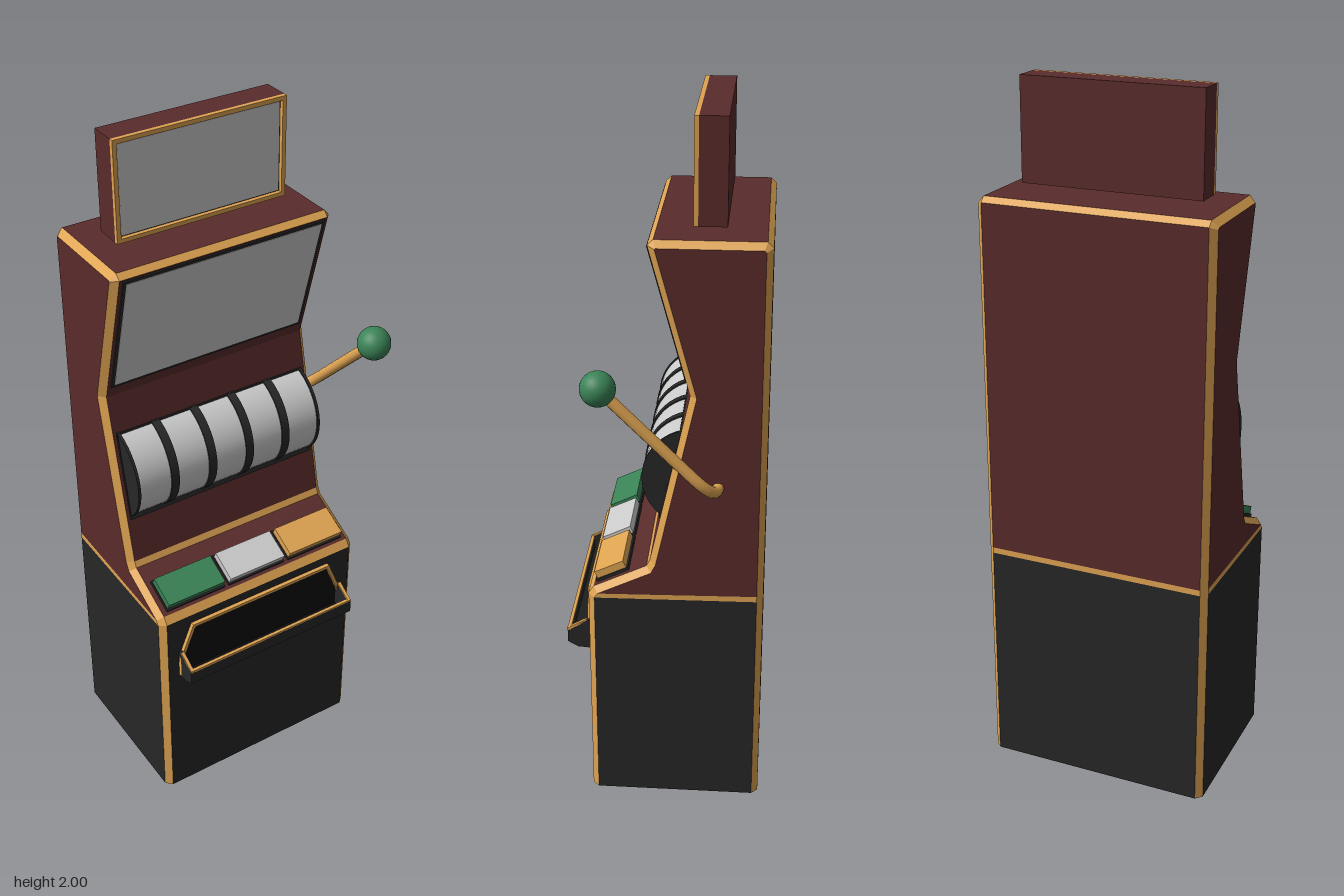
import * as THREE from 'three';

const mat = (color, opts = {}) => new THREE.MeshStandardMaterial({ color, ...opts });
const MAROON = mat(0x5a2b2b), BLACK = mat(0x272727), DARK = mat(0x0c0c0c);
const GOLD = mat(0xdfa452), GREEN = mat(0x3a8357), GREY = mat(0xcccccc);
const CX = -0.06;            // cabinet centre in x
const HW = 0.334, C = 0.018; // cabinet half width and edge chamfer

function add(parent, name, geo, material, x = 0, y = 0, z = 0) {
  const m = new THREE.Mesh(geo, material);
  m.name = name;
  m.position.set(x, y, z);
  parent.add(m);
  return m;
}
const box = (w, h, d) => new THREE.BoxGeometry(w, h, d);

// Cabinet side profile as [z, y], with the material of the segment that follows
const PROFILE = [
  [0.212, 0, BLACK], [0.212, 0.663, GOLD], [0.197, 0.685, MAROON],
  [0.047, 0.757, GOLD], [0.038, 0.775, MAROON], [-0.072, 1.275, MAROON],
  [0.04, 1.685, GOLD], [0.024, 1.7, MAROON], [-0.265, 1.7, GOLD],
  [-0.281, 1.685, MAROON], [-0.281, 0.68, GOLD], [-0.281, 0.663, BLACK], [-0.281, 0, MAROON],
];

// Profile moved inwards by c, with mitred corners; the floor stays level
function inset(pts, c) {
  const n = pts.length;
  const normal = (a, b) => new THREE.Vector2(b[1] - a[1], a[0] - b[0]).normalize();
  return pts.map((p, i) => {
    if (p[1] === 0) return [p[0] - Math.sign(p[0]) * c, 0];
    const n1 = normal(pts[(i + n - 1) % n], p), n2 = normal(p, pts[(i + 1) % n]);
    const k = c / (1 + n1.dot(n2));
    return [p[0] - (n1.x + n2.x) * k, p[1] - (n1.y + n2.y) * k];
  });
}

function quads(list) {
  const pos = [];
  for (const [a, b, c, d] of list) pos.push(...a, ...b, ...c, ...a, ...c, ...d);
  const g = new THREE.BufferGeometry();
  g.setAttribute('position', new THREE.Float32BufferAttribute(pos, 3));
  g.computeVertexNormals();
  return g;
}

function buildCabinet() {
  const g = new THREE.Group();
  g.name = 'cabinet';
  const inner = inset(PROFILE, C), n = PROFILE.length;
  const faces = new Map([[MAROON, []], [BLACK, []], [GOLD, []]]);
  const at = (x, p) => [x, p[1], p[0]];
  PROFILE.forEach((p, i) => {
    const j = (i + 1) % n, q = PROFILE[j], w = HW - C;
    faces.get(p[2]).push([at(-w, p), at(w, p), at(w, q), at(-w, q)]);
    const edge = j === 0 ? MAROON : GOLD; // chamfers along both sides
    faces.get(edge).push([at(w, p), at(HW, inner[i]), at(HW, inner[j]), at(w, q)]);
    faces.get(edge).push([at(-HW, inner[i]), at(-w, p), at(-w, q), at(-HW, inner[j])]);
  });
  add(g, 'upperShell', quads(faces.get(MAROON)), MAROON);
  add(g, 'lowerShell', quads(faces.get(BLACK)), BLACK);
  add(g, 'edgeTrim', quads(faces.get(GOLD)), GOLD);

  // Side panels: lower, waist band, upper
  const caps = [['lowerSide', [0, 1, 11, 12], BLACK], ['waistBand', [1, 2, 10, 11], GOLD],
    ['upperSide', [2, 3, 4, 5, 6, 7, 8, 9, 10], MAROON]];
  for (const [name, ids, m] of caps) for (const s of [1, -1]) {
    const shape = new THREE.Shape(ids.map(i => new THREE.Vector2(-s * inner[i][0], inner[i][1])));
    add(g, name, new THREE.ShapeGeometry(shape).rotateY(s * Math.PI / 2), m, s * HW);
  }
  g.position.x = CX;
  return g;
}

// Group lying on profile segment i; its +z points out of the face
function mount(name, i, t) {
  const a = PROFILE[i], b = PROFILE[i + 1];
  const g = new THREE.Group();
  g.name = name;
  g.position.set(CX, a[1] + (b[1] - a[1]) * t, a[0] + (b[0] - a[0]) * t);
  g.rotation.x = Math.atan2(b[0] - a[0], b[1] - a[1]);
  return g;
}

function buildReels() {
  const g = new THREE.Group();
  g.name = 'reels';
  const disc = (r, w) => new THREE.CylinderGeometry(r, r, w, 48).rotateZ(Math.PI / 2);
  for (let i = 0; i < 5; i++) add(g, 'reel', disc(0.144, 0.098), GREY, (i - 2) * 0.123);
  for (let i = 0; i < 6; i++) add(g, 'reelDivider', disc(0.148, i % 5 ? 0.025 : 0.008), BLACK,
    (i - 2.5) * 0.123 + (i === 0 ? 0.008 : i === 5 ? -0.008 : 0));
  g.position.set(CX, 1.025, -0.088);
  return g;
}

function polygon(pts) {
  return new THREE.Shape(pts.map(p => new THREE.Vector2(...p)));
}

function buildTray() {
  const g = new THREE.Group();
  g.name = 'coinTray';
  const hw = 0.281, t = 0.01;
  // Arched frame against the cabinet
  const arch = [[-hw, 0.455], [hw, 0.455], [hw, 0.525], [0.237, 0.635], [-0.237, 0.635], [-hw, 0.525]];
  const hole = [[-hw + t, 0.463], [hw - t, 0.463], [hw - t, 0.523], [0.23, 0.625], [-0.23, 0.625], [-hw + t, 0.523]];
  const frame = polygon(arch);
  frame.holes.push(polygon(hole));
  add(g, 'trayFrame', new THREE.ExtrudeGeometry(frame, { depth: 0.012, bevelEnabled: false }), GOLD, 0, 0, 0.212);
  add(g, 'trayBack', new THREE.ShapeGeometry(polygon(hole)), DARK, 0, 0, 0.214);
  // Scoop: two cheeks, front wall and floor
  const cheek = polygon([[-0.214, 0.457], [-0.25, 0.457], [-0.281, 0.475], [-0.281, 0.515], [-0.224, 0.548], [-0.214, 0.548]]);
  for (const s of [-1, 1]) {
    const geo = new THREE.ExtrudeGeometry(cheek, { depth: t, bevelEnabled: false }).rotateY(Math.PI / 2);
    add(g, 'trayCheek', geo, BLACK, s * (hw - t / 2) - t / 2);
    const rim = add(g, 'cheekRim', box(t, 0.007, 0.066), GOLD, s * (hw - t / 2), 0.532, 0.2525);
    rim.rotation.x = Math.atan2(0.033, 0.057);
  }
  add(g, 'trayFront', box(2 * hw - 2 * t, 0.04, t), BLACK, 0, 0.495, 0.276);
  add(g, 'trayFrontRim', box(2 * hw, 0.007, t), GOLD, 0, 0.517, 0.276);
  add(g, 'trayFloor', box(2 * hw - 2 * t, 0.008, 0.04), DARK, 0, 0.461, 0.232);
  const lip = add(g, 'trayLip', box(2 * hw - 2 * t, 0.008, 0.038), BLACK, 0, 0.47, 0.263);
  lip.rotation.x = -Math.atan2(0.018, 0.031);
  g.position.x = CX;
  return g;
}

function buildSign() {
  const g = new THREE.Group();
  g.name = 'topSign';
  const w = 0.512, h = 0.282, b = 0.012;
  add(g, 'signBox', box(w, h, 0.076), MAROON, 0, 0, -0.05);
  const rect = (a, c) => polygon([[-a, -c], [a, -c], [a, c], [-a, c]]);
  const rim = rect(w / 2, h / 2);
  rim.holes.push(rect(w / 2 - b, h / 2 - b));
  add(g, 'signRim', new THREE.ExtrudeGeometry(rim, { depth: 0.012, bevelEnabled: false }), GOLD, 0, 0, -0.012);
  add(g, 'signScreen', box(w - 2 * b - 0.008, h - 2 * b - 0.008, 0.006), GREY, 0, 0, -0.01);
  g.position.set(CX, 1.859, -0.074);
  return g;
}

function buildLever() {
  const g = new THREE.Group();
  g.name = 'lever';
  const v = (x, y, z) => new THREE.Vector3(x, y, z);
  const path = new THREE.CurvePath();
  path.add(new THREE.LineCurve3(v(0.25, 1.015, -0.152), v(0.285, 1.015, -0.149)));
  path.add(new THREE.QuadraticBezierCurve3(v(0.285, 1.015, -0.149), v(0.343, 1.02, -0.143), v(0.343, 1.075, -0.088)));
  path.add(new THREE.LineCurve3(v(0.343, 1.075, -0.088), v(0.343, 1.325, 0.162)));
  add(g, 'leverArm', new THREE.TubeGeometry(path, 32, 0.016, 12), GOLD);
  add(g, 'leverKnob', new THREE.SphereGeometry(0.048, 24, 16), GREEN, 0.343, 1.325, 0.162);
  return g;
}

export function createModel() {
  const model = new THREE.Group();
  model.name = 'slotMachine';
  model.add(buildCabinet(), buildReels(), buildTray(), buildSign(), buildLever());

  // Main screen on the upper slope
  const screen = mount('mainScreen', 5, 0.537);
  add(screen, 'screenFrame', box(0.612, 0.384, 0.008), BLACK);
  add(screen, 'screenPanel', box(0.594, 0.366, 0.01), GREY);

  // Dark surround of the reels
  const surround = mount('reelSurround', 4, 0.52);
  add(surround, 'reelFrame', box(0.612, 0.268, 0.008), BLACK);

  // Three buttons on the ledge
  const buttons = mount('buttons', 2, 0.36);
  [GREEN, GREY, GOLD].forEach((m, i) => {
    const x = (i - 1) * 0.205;
    add(buttons, 'buttonBase', box(0.192, 0.1, 0.012), BLACK, x, 0, 0.003);
    add(buttons, 'button', box(0.186, 0.09, 0.022), m, x, 0, 0.02);
  });
  model.add(screen, surround, buttons);
  return model;
}
